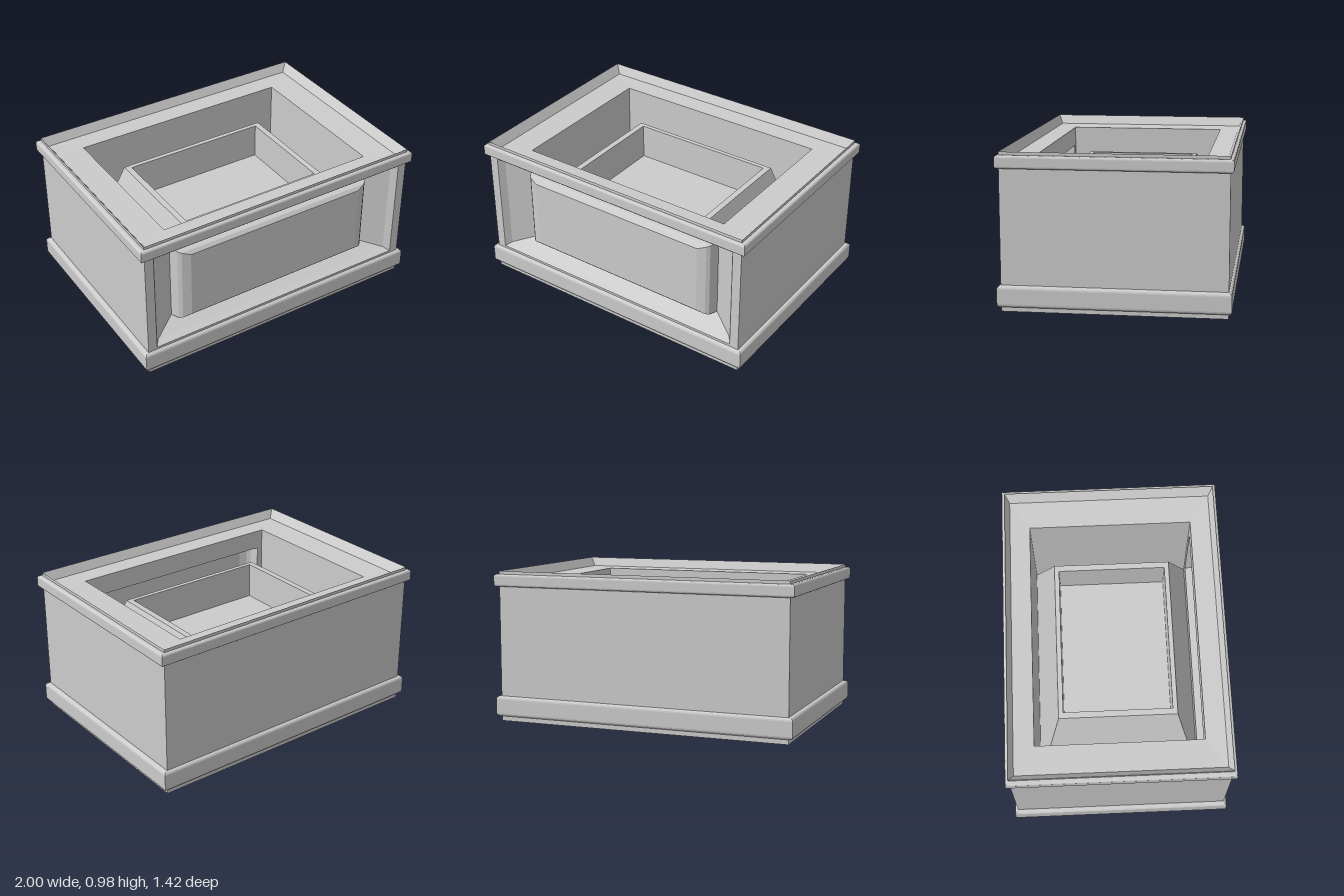
import * as THREE from 'three';

const material = new THREE.MeshStandardMaterial({
  color: 0xcccccc, flatShading: true, side: THREE.DoubleSide,
});

// Skin over rectangular rings [halfX, halfZ, height, centreZ]; sides: 0 front, 1 right, 2 back, 3 left
function skin(name, rings, sides = [0, 1, 2, 3]) {
  const corners = rings.map(([x, z, y, c = 0]) => [
    [-x, y, c + z], [x, y, c + z], [x, y, c - z], [-x, y, c - z],
  ]);
  const pos = [];
  for (let r = 0; r < rings.length - 1; r++) {
    for (const i of sides) {
      const j = (i + 1) % 4;
      const a = corners[r][i], b = corners[r][j];
      const c = corners[r + 1][j], d = corners[r + 1][i];
      pos.push(...a, ...b, ...c, ...a, ...c, ...d);
    }
  }
  const geo = new THREE.BufferGeometry();
  geo.setAttribute('position', new THREE.Float32BufferAttribute(pos, 3));
  geo.computeVertexNormals();
  const mesh = new THREE.Mesh(geo, material);
  mesh.name = name;
  return mesh;
}

// Same skin turned to face the front; rings are [halfX, bottomY, topY, z]
function frontSkin(name, rings) {
  const mesh = skin(name, rings.map(([x, y0, y1, z]) => [x, (y1 - y0) / 2, z, -(y0 + y1) / 2]));
  mesh.geometry.rotateX(Math.PI / 2);
  return mesh;
}

// Moulding with rounded edges running around the body
function band(name, y0, y1, r) {
  const rings = [[0.97, 0.69, y0]];
  for (let q = 0; q < 2; q++) {
    for (let k = 0; k <= 4; k++) {
      const t = (q - 1 + k / 4) * Math.PI / 2;
      const inset = r * (1 - Math.cos(t));
      const y = (q ? y1 - r : y0 + r) + r * Math.sin(t);
      rings.push([1 - inset, 0.71 - inset, y]);
    }
  }
  rings.push([0.97, 0.69, y1]);
  return skin(name, rings);
}

export function createModel() {
  const group = new THREE.Group();
  group.name = 'panelledBox';

  // Body: underside, then the side and back walls (the front has its own panel)
  group.add(skin('underside', [[0, 0, 0], [0.97, 0.69, 0]]));
  group.add(skin('outerWalls', [[0.97, 0.69, 0], [0.97, 0.69, 0.98]], [1, 2, 3]));

  // Rim bevelled inwards down to a flat ledge around the opening
  group.add(skin('topLedge', [[0.97, 0.69, 0.98], [0.93, 0.66, 0.92], [0.745, 0.53, 0.915]]));
  group.add(skin('innerWalls', [[0.745, 0.53, 0.915], [0.745, 0.53, 0.15]], [1, 2, 3]));

  // Front frame, sunken dish and raised centre panel
  group.add(frontSkin('frontPanel', [
    [0.97, 0, 0.98, 0.69],
    [0.91, 0.18, 0.87, 0.69],
    [0.88, 0.2, 0.855, 0.65],
    [0.725, 0.26, 0.79, 0.55],
    [0.705, 0.265, 0.785, 0.61],
    [0.685, 0.272, 0.778, 0.628],
    [0.63, 0.29, 0.755, 0.645],
    [0, 0.52, 0.52, 0.645],
  ]));
  // Inside of the front wall, open behind the hollow centre panel
  group.add(frontSkin('frontWallInside', [
    [0.705, 0.265, 0.785, 0.6],
    [0.705, 0.265, 0.785, 0.53],
    [0.745, 0.15, 0.915, 0.53],
  ]));

  // Sloped inner tray with a flat rim and a sunken floor
  group.add(skin('innerTray', [
    [0.745, 0.53, 0.15], [0.53, 0.38, 0.77], [0.49, 0.35, 0.77],
    [0.49, 0.35, 0.53], [0, 0, 0.53],
  ]));

  group.add(band('bottomBand', 0.03, 0.165, 0.022));
  group.add(band('topBand', 0.88, 0.96, 0.015));
  return group;
}
